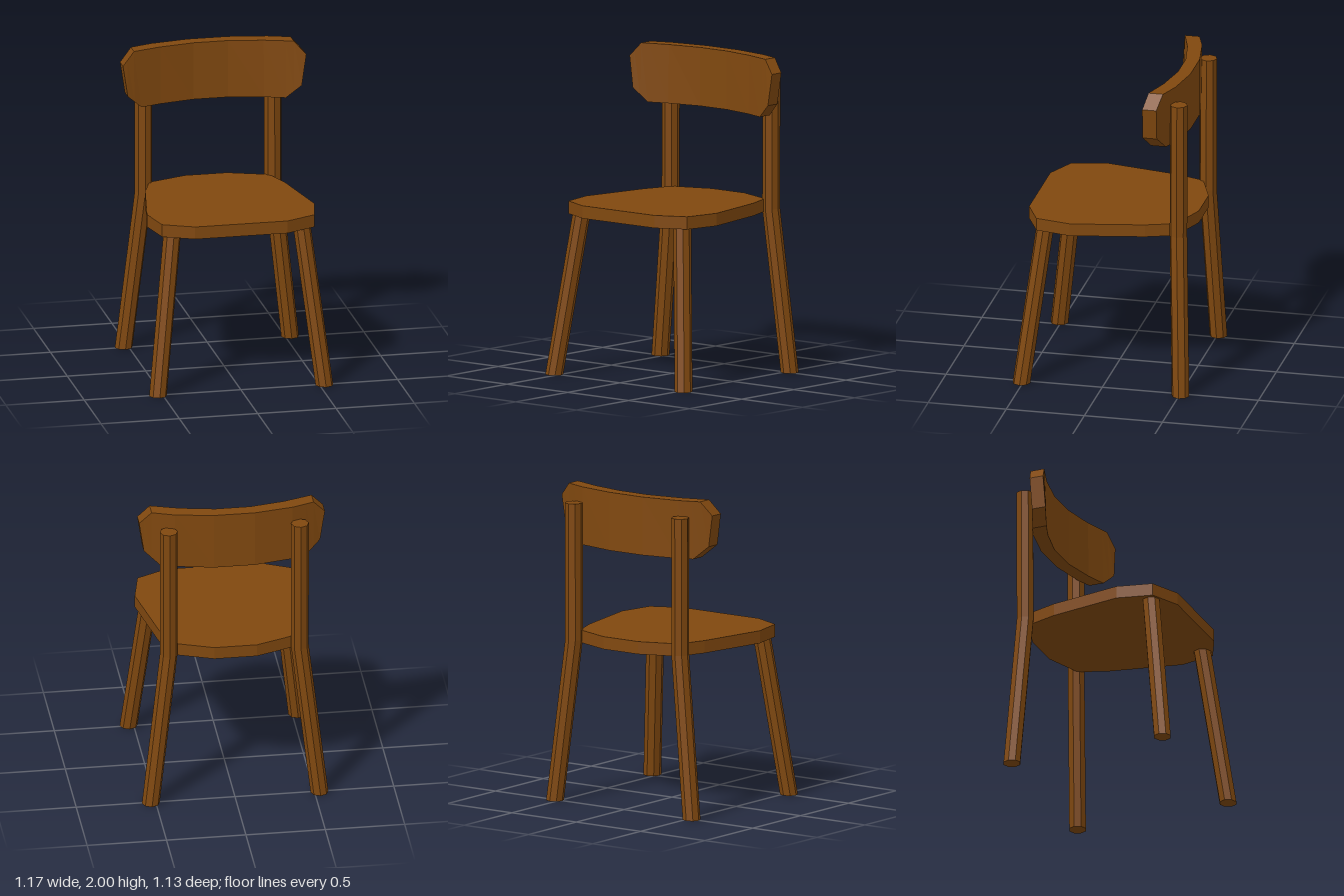
import * as THREE from 'three';

const wood = new THREE.MeshStandardMaterial({ color: 0x80480f, flatShading: true });

// Skins a row of equal-length closed rings and caps both ends.
function loft(rings) {
  const pos = [];
  const tri = (a, b, c) => {
    const area = b.clone().sub(a).cross(c.clone().sub(a)).length();
    if (area > 1e-9) for (const p of [a, b, c]) pos.push(p.x, p.y, p.z);
  };
  const n = rings[0].length;
  for (let i = 0; i < rings.length - 1; i++) {
    for (let j = 0; j < n; j++) {
      const k = (j + 1) % n;
      tri(rings[i][j], rings[i][k], rings[i + 1][k]);
      tri(rings[i][j], rings[i + 1][k], rings[i + 1][j]);
    }
  }
  const first = rings[0], last = rings[rings.length - 1];
  for (let j = 1; j < n - 1; j++) {
    tri(first[0], first[j + 1], first[j]);
    tri(last[0], last[j], last[j + 1]);
  }
  const geo = new THREE.BufferGeometry();
  geo.setAttribute('position', new THREE.Float32BufferAttribute(pos, 3));
  geo.computeVertexNormals();
  return geo;
}

// Eight-sided post with level cuts, through the given [x, y, z] centres.
function post(centres, radius = 0.056) {
  return loft(centres.map(([x, y, z]) => Array.from({ length: 8 }, (_, i) => {
    const a = (i / 8) * Math.PI * 2;
    return new THREE.Vector3(x + radius * Math.sin(a), y, z + radius * Math.cos(a));
  })));
}

// Flat seat board with a faceted outline.
function seatGeometry() {
  const half = [[0.135, -0.535], [0.382, -0.445], [0.447, -0.26], [0.535, 0.2], [0.487, 0.425], [0.295, 0.515]];
  const outline = [...half, ...half.map(([x, z]) => [-x, z]).reverse()];
  const shape = new THREE.Shape(outline.map(([x, z]) => new THREE.Vector2(x, -z)));
  const geo = new THREE.ExtrudeGeometry(shape, { depth: 0.08, bevelEnabled: false });
  return geo.rotateX(-Math.PI / 2).translate(0, 1.01, 0);
}

// Curved backrest with clipped corners, lofted from side to side.
function backrestGeometry() {
  // front x, back x, top y, bottom y, front z, back z
  const half = [
    [0.11, 0.13, 2, 1.63, -0.395, -0.48],
    [0.33, 0.37, 2, 1.63, -0.355, -0.44],
    [0.46, 0.46, 2, 1.63, -0.314, -0.409],
    [0.51, 0.51, 2, 1.675, -0.298, -0.391],
    [0.555, 0.555, 1.949, 1.715, -0.284, -0.375],
    [0.585, 0.585, 1.915, 1.915, -0.275, -0.365],
  ];
  const ring = (s) => ([xf, xb, top, bottom, zf, zb]) => {
    const lean = 0.03 * (xf - 0.11) * (top > bottom ? 1 : 0);
    return [
      new THREE.Vector3(s * xb, top, zb),
      new THREE.Vector3(s * xf, top, zf),
      new THREE.Vector3(s * xf, bottom, zf + lean),
      new THREE.Vector3(s * xb, bottom, zb + lean),
    ];
  };
  return loft([...half.map(ring(-1)).reverse(), ...half.map(ring(1))]);
}

export function createModel() {
  const group = new THREE.Group();
  const add = (name, geo) => {
    const mesh = new THREE.Mesh(geo, wood);
    mesh.name = name;
    group.add(mesh);
  };

  add('seat', seatGeometry());
  add('backrest', backrestGeometry());

  // Splayed front legs; back legs bend at the seat and rise to hold the backrest.
  for (const [side, s] of [['left', 1], ['right', -1]]) {
    add(`${side}FrontLeg`, post([[s * 0.531, 0, 0.51], [s * 0.412, 1.03, 0.383]]));
    add(`${side}BackLeg`, post([[s * 0.531, 0, -0.508], [s * 0.413, 1.03, -0.468], [s * 0.413, 1.9, -0.47]]));
  }
  return group;
}
